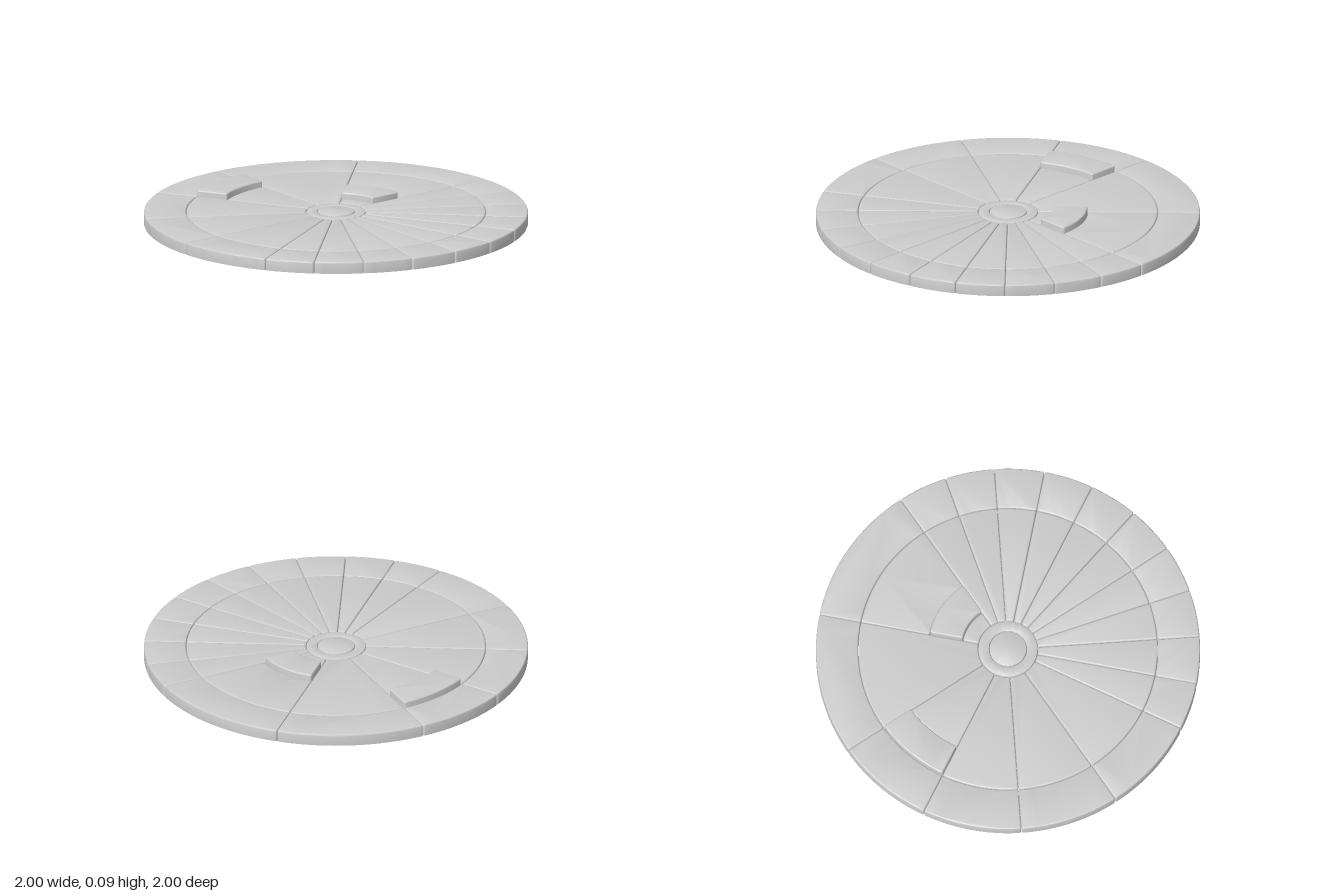
import * as THREE from 'three';
import { toCreasedNormals } from 'three/addons/utils/BufferGeometryUtils.js';

const BEVEL = 0.008, CORNER = 0.01, GAP = 0.0008;
const BASE = 0.063, RAISED = 0.095;
const material = new THREE.MeshStandardMaterial({ color: 0xcccccc, side: THREE.DoubleSide });

// Ring sector outline with rounded corners; angles in degrees, seen from above
function sectorShape(r0, r1, deg0, deg1) {
  r0 += GAP; r1 -= GAP;
  const a0 = THREE.MathUtils.degToRad(deg0), a1 = THREE.MathUtils.degToRad(deg1);
  const points = [];
  const add = (r, a, side) => points.push(new THREE.Vector2(
    r * Math.cos(a) - side * GAP * Math.sin(a), r * Math.sin(a) + side * GAP * Math.cos(a)));
  // one corner: dr, da point towards the inside of the sector
  const corner = (r, a, dr, da, start) => {
    for (let i = 0; i <= 4; i++) {
      const t = (start === 'arc' ? 4 - i : i) / 4 * Math.PI / 2;
      add(r + dr * CORNER * (1 - Math.sin(t)), a + da * CORNER / r * (1 - Math.cos(t)), da);
    }
  };
  const arc = (r, from, to) => {
    const n = Math.max(2, Math.ceil((deg1 - deg0) / 2.5));
    const pad = Math.sign(to - from) * CORNER / r;
    for (let i = 1; i < n; i++) add(r, THREE.MathUtils.lerp(from + pad, to - pad, i / n), 0);
  };
  corner(r1, a0, -1, 1, 'side');
  arc(r1, a0, a1);
  corner(r1, a1, -1, -1, 'arc');
  corner(r0, a1, 1, -1, 'side');
  arc(r0, a1, a0);
  corner(r0, a0, 1, 1, 'arc');
  return new THREE.Shape(points);
}

// Hollow tile: bevelled top, straight walls, open underneath
function tile(name, r0, r1, deg0, deg1, top) {
  const solid = new THREE.ExtrudeGeometry(sectorShape(r0, r1, deg0, deg1), {
    depth: top - BEVEL, bevelThickness: BEVEL, bevelSize: BEVEL, bevelOffset: -BEVEL, bevelSegments: 3,
  });
  const p = solid.attributes.position.array, kept = [];
  for (let i = 0; i < p.length; i += 9) {
    if (Math.min(p[i + 2], p[i + 5], p[i + 8]) > -1e-5) kept.push(...p.slice(i, i + 9));
  }
  const geometry = new THREE.BufferGeometry();
  geometry.setAttribute('position', new THREE.Float32BufferAttribute(kept, 3));
  geometry.rotateX(-Math.PI / 2);
  const mesh = new THREE.Mesh(toCreasedNormals(geometry, 0.6), material);
  mesh.name = name;
  return mesh;
}

// Turned part from [radius, height] pairs
function turned(name, profile) {
  const lathe = new THREE.LatheGeometry(profile.map(([r, y]) => new THREE.Vector2(r, y)), 72);
  const mesh = new THREE.Mesh(toCreasedNormals(lathe, 0.6), material);
  mesh.name = name;
  return mesh;
}

export function createModel() {
  const model = new THREE.Group();
  model.name = 'segmentedDisc';

  // Sector boundaries, and the radii where a sector is split; the listed band is raised
  const angles = [-180, -150, -120, -90, -60, -45, -30, -15, 0, 15, 30, 45, 60, 75, 90, 135, 180];
  const splits = {
    '-180': { radii: [0.155, 0.61, 0.78], raised: 1 },
    '90': { radii: [0.155, 0.24, 0.415, 0.78], raised: 1 },
  };

  for (let i = 0; i < angles.length - 1; i++) {
    const [from, to] = [angles[i], angles[i + 1]];
    const { radii, raised } = splits[from] ?? { radii: [0.155, 0.78], raised: -1 };
    for (let k = 0; k < radii.length - 1; k++) {
      const high = k === raised;
      model.add(tile(high ? 'raisedTile' : 'innerTile', radii[k], radii[k + 1], from, to, high ? RAISED : BASE));
    }
    model.add(tile('outerTile', 0.78, 1.0008, from, to, BASE));
  }

  // Hub ring and centre cap, both open underneath
  const b = BEVEL, s = BEVEL * 0.3;
  model.add(turned('hubRing', [
    [0.155, 0], [0.155, BASE - b], [0.155 - s, BASE - s], [0.155 - b, BASE],
    [0.098 + b, BASE], [0.098 + s, BASE - s], [0.098, BASE - b], [0.098, 0],
  ]));
  const capTop = BASE + 0.002;
  model.add(turned('centreCap', [
    [0.097, 0], [0.097, capTop - b], [0.097 - s, capTop - s], [0.097 - b, capTop], [0, capTop],
  ]));
  return model;
}
